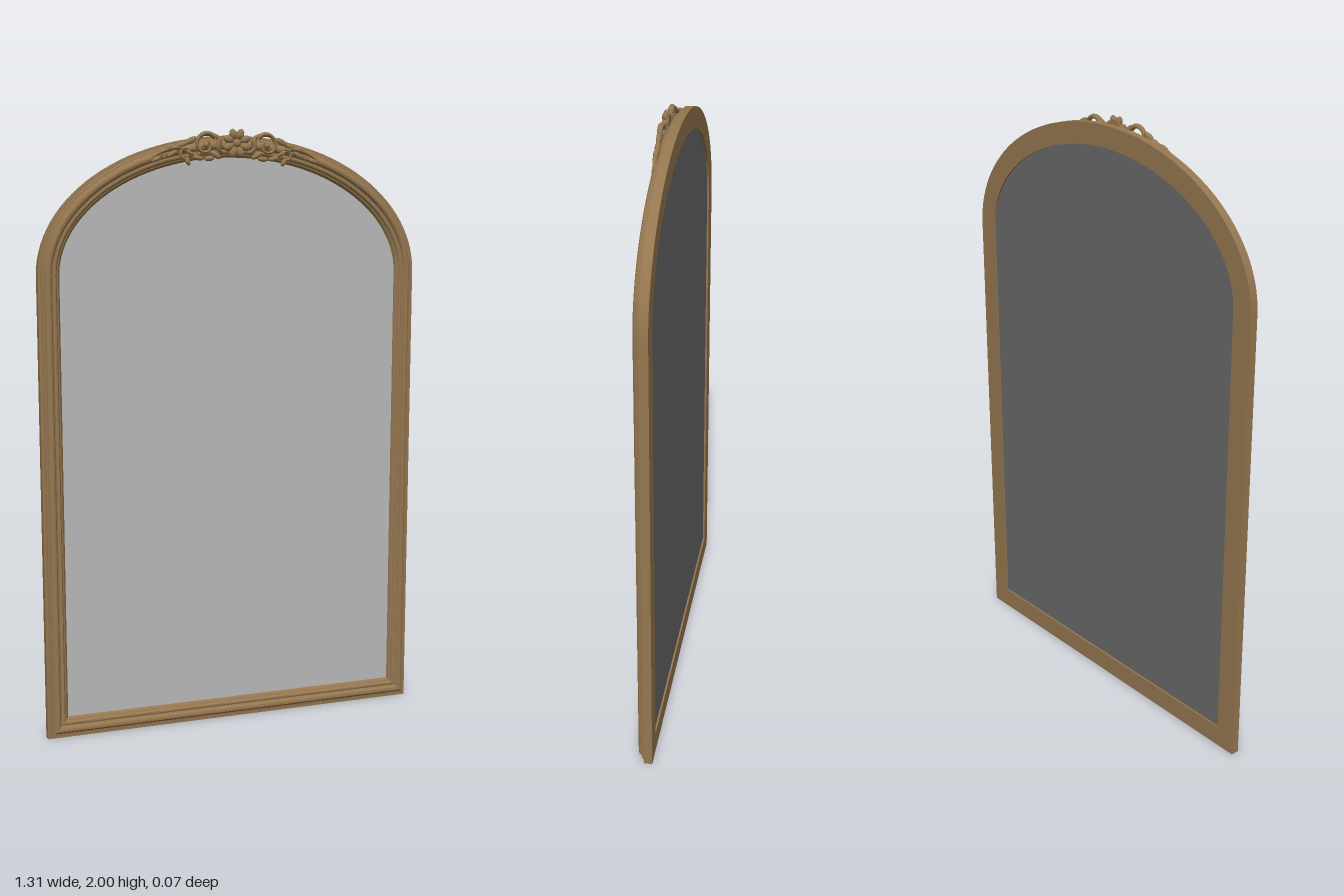
import * as THREE from 'three';
import { toCreasedNormals } from 'three/addons/utils/BufferGeometryUtils.js';

const W = 0.655, SPRING = 1.53, RISE = 0.446;

// Arched outline, counterclockwise, moved inward by d
function outline(d, steps = 56) {
  const pts = [new THREE.Vector2(-W + d, d), new THREE.Vector2(W - d, d)];
  for (let i = 0; i <= steps; i++) {
    const t = Math.PI * i / steps;
    const n = new THREE.Vector2(RISE * Math.cos(t), W * Math.sin(t)).normalize();
    pts.push(new THREE.Vector2(W * Math.cos(t) - n.x * d, SPRING + RISE * Math.sin(t) - n.y * d));
  }
  return pts;
}

// Sweep a moulding profile of [inset, z] points around the outline
function mouldingGeometry(profile) {
  const rings = profile.map(([d, z]) => outline(d).map(p => [p.x, p.y, z]));
  const n = rings[0].length, pos = [];
  for (let j = 0; j < profile.length; j++) {
    const r0 = rings[j], r1 = rings[(j + 1) % profile.length];
    for (let i = 0; i < n; i++) {
      const k = (i + 1) % n;
      pos.push(...r0[i], ...r0[k], ...r1[k], ...r0[i], ...r1[k], ...r1[i]);
    }
  }
  const g = new THREE.BufferGeometry();
  g.setAttribute('position', new THREE.Float32BufferAttribute(pos, 3));
  return toCreasedNormals(g, 0.4);
}

// Flattened scroll tube whose radius follows taper(t)
function scrollGeometry(points, radius, taper, depth = 1) {
  const curve = new THREE.CatmullRomCurve3(points.map(p => new THREE.Vector3(p[0], p[1], p[2] || 0)));
  const seg = 36, rad = 8;
  const g = new THREE.TubeGeometry(curve, seg, radius, rad);
  const a = g.attributes.position, v = new THREE.Vector3();
  for (let i = 0; i <= seg; i++) {
    const c = curve.getPointAt(i / seg), s = taper(i / seg);
    for (let j = 0; j <= rad; j++) {
      const k = i * (rad + 1) + j;
      v.fromBufferAttribute(a, k).sub(c).multiplyScalar(s);
      v.z *= depth;
      v.add(c);
      a.setXYZ(k, v.x, v.y, v.z);
    }
  }
  g.computeVertexNormals();
  return g;
}

// Spiral points around a centre
function spiral(cx, cy, r0, r1, a0, a1, side) {
  return Array.from({ length: 14 }, (_, i) => {
    const t = i / 13, r = r0 + (r1 - r0) * t, a = a0 + (a1 - a0) * t;
    return [side * (cx + r * Math.cos(a)), cy + r * Math.sin(a)];
  });
}

export function createModel() {
  const gold = new THREE.MeshStandardMaterial({ color: 0x957750 });
  gold.name = 'antique gold';
  const silver = new THREE.MeshStandardMaterial({ color: 0xb8b8b8 });
  silver.name = 'mirror silver';
  const grey = new THREE.MeshStandardMaterial({ color: 0x696969 });
  grey.name = 'backing grey';

  const model = new THREE.Group();
  model.name = 'archedMirror';
  const add = (name, geo, mat, parent = model) => {
    const m = new THREE.Mesh(geo, mat);
    m.name = name;
    parent.add(m);
    return m;
  };

  // Stepped frame moulding
  add('frame', mouldingGeometry([
    [0, -0.035], [0, -0.007], [0.009, -0.006], [0.012, 0.001], [0.017, 0.002],
    [0.021, 0.010], [0.026, 0.014], [0.032, 0.015], [0.038, 0.013], [0.042, 0.007],
    [0.046, 0.005], [0.050, 0.007], [0.055, 0.006], [0.059, 0.000], [0.064, -0.002],
    [0.070, -0.010], [0.070, -0.035]
  ]), gold);

  // Glass and back panel
  const panel = (name, z, mat) => {
    const g = new THREE.ExtrudeGeometry(new THREE.Shape(outline(0.069)), { depth: 0.008, bevelEnabled: false });
    add(name, g, mat).position.z = z;
  };
  panel('mirrorGlass', -0.018, silver);
  panel('backPanel', -0.0285, grey);

  // Crest ornament
  const crest = new THREE.Group();
  crest.name = 'crest';
  model.add(crest);
  const blob = (name, x, y, z, sx, sy, sz, angle = 0) => {
    const m = add(name, new THREE.SphereGeometry(1, 14, 10), gold, crest);
    m.position.set(x, y, z);
    m.scale.set(sx, sy, sz);
    m.rotation.z = angle;
  };

  // Central rosette
  const disc = add('rosetteBase', new THREE.CylinderGeometry(0.032, 0.036, 0.012, 24), gold, crest);
  disc.rotation.x = Math.PI / 2;
  disc.position.set(0, 1.951, 0.016);
  for (let i = 0; i < 8; i++) {
    const a = i * Math.PI / 4 + Math.PI / 8;
    blob('rosettePetal', 0.031 * Math.cos(a), 1.951 + 0.031 * Math.sin(a), 0.022, 0.0175, 0.0125, 0.010, a);
  }
  blob('rosetteBud', 0, 1.951, 0.025, 0.013, 0.013, 0.009);

  // Scrolls and leaves, mirrored on both sides
  const fade = t => 1 - 0.6 * t;
  const swell = t => 0.15 + 0.85 * Math.sin(Math.PI * t);
  for (const s of [1, -1]) {
    const scroll = (name, pts, r, z, taper, depth) => {
      add(name, scrollGeometry(pts, r, taper, depth), gold, crest).position.z = z;
    };
    const leaf = (x, y, len, wid, angle, z = 0.016) =>
      blob('leaf', s * x, y, z, len, wid, 0.008, s * angle);

    // Large C scroll beside the rosette
    scroll('largeScroll', spiral(0.105, 1.944, 0.040, 0.010, 2.5, -4.6, s), 0.0085, 0.020, fade, 1.2);
    blob('scrollEye', s * 0.105, 1.944, 0.022, 0.010, 0.010, 0.009);
    scroll('collar', [[s * 0.045, 1.918], [s * 0.062, 1.935], [s * 0.060, 1.962], [s * 0.078, 1.981]], 0.010, 0.019, swell, 1);

    // Long stem running down the arch
    scroll('stem', [[s * 0.12, 1.905], [s * 0.155, 1.917], [s * 0.19, 1.934], [s * 0.235, 1.927], [s * 0.285, 1.903]], 0.009, 0.014, swell, 1);
    scroll('smallScroll', spiral(0.172, 1.912, 0.022, 0.006, 1.8, -4.2, s), 0.006, 0.017, fade, 1.1);
    scroll('tipScroll', spiral(0.243, 1.912, 0.017, 0.005, 2.2, -3.5, s), 0.005, 0.014, fade, 1.1);

    // Leaves
    leaf(0.070, 1.912, 0.020, 0.009, 0.5, 0.018);
    leaf(0.092, 1.901, 0.018, 0.008, -0.1, 0.016);
    leaf(0.130, 1.903, 0.019, 0.008, 0.2);
    leaf(0.155, 1.957, 0.024, 0.010, -0.45, 0.018);
    leaf(0.165, 1.891, 0.014, 0.008, 1.1);
    leaf(0.187, 1.943, 0.022, 0.009, -0.35);
    leaf(0.215, 1.916, 0.020, 0.008, -0.6, 0.014);
    leaf(0.225, 1.935, 0.021, 0.008, -0.3, 0.014);
    leaf(0.268, 1.897, 0.018, 0.007, -0.4, 0.012);
  }
  return model;
}
